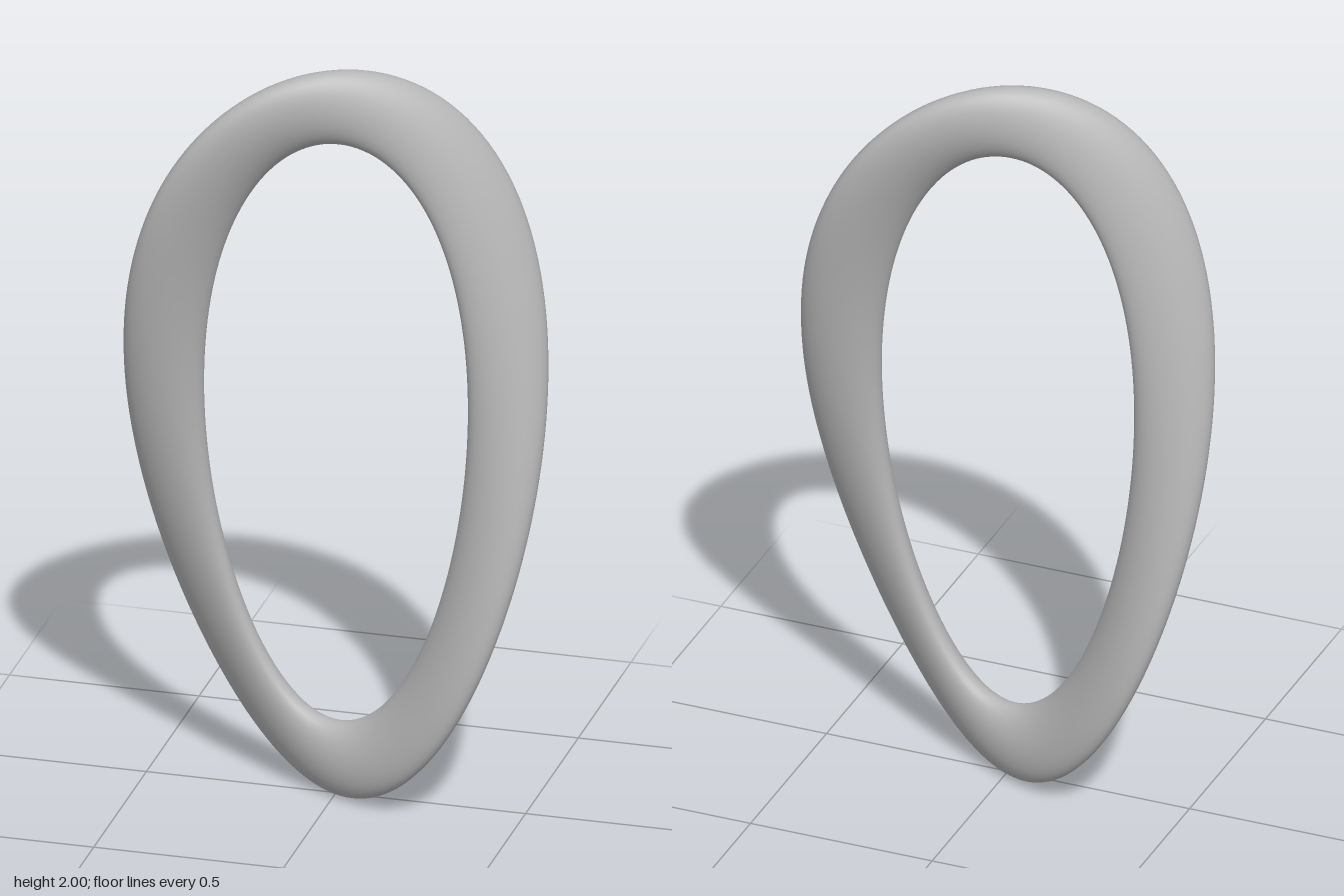
import * as THREE from 'three';
import { mergeVertices } from 'three/addons/utils/BufferGeometryUtils.js';

const metal = new THREE.MeshStandardMaterial({ color: 0xb4b4b4 });
metal.name = 'grey metal';

// Oval ring whose flattened section is sheared and swung along z twice per turn
function twistedRing() {
  const ringRadius = 1, tubeRadius = 0.1;
  let geo = new THREE.TorusGeometry(ringRadius, tubeRadius, 40, 160);
  geo.deleteAttribute('normal');
  geo.deleteAttribute('uv');
  const pos = geo.attributes.position;
  for (let i = 0; i < pos.count; i++) {
    const x = pos.getX(i), y = pos.getY(i), z = pos.getZ(i);
    const r = Math.hypot(x, y);
    const cos = x / r, sin = y / r;
    const out = r - ringRadius; // distance outward from the centre line
    const swing = 2 * sin * cos;
    const py = (0.9 + out) * sin;
    const px = (0.45 + out) * cos * (1 + 0.1 * py - 0.01 * (1 - sin * sin)); // slightly wider at the top
    const pz = 0.6 * z - swing * (0.08 + 0.53 * out);
    pos.setXYZ(i, px, py + 1, pz);
  }
  // Weld the seams so the shading runs smoothly round the ring
  geo = mergeVertices(geo, 1e-5);
  geo.computeVertexNormals();
  return geo;
}

export function createModel() {
  const group = new THREE.Group();
  group.name = 'chainLink';
  const ring = new THREE.Mesh(twistedRing(), metal);
  ring.name = 'twistedRing';
  group.add(ring);
  return group;
}
